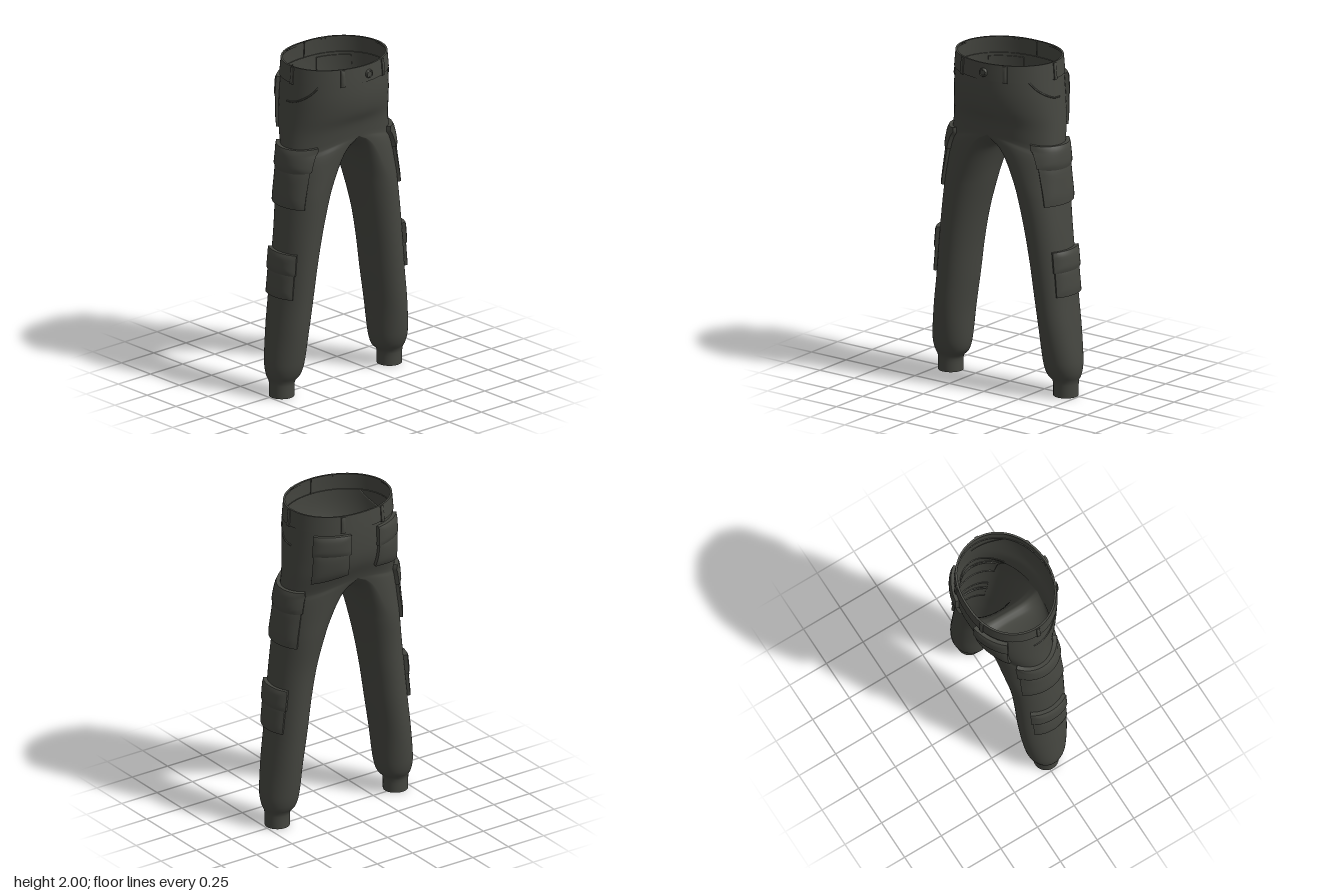
import * as THREE from 'three';
import { mergeGeometries, mergeVertices, toCreasedNormals } from 'three/addons/utils/BufferGeometryUtils.js';

// Half-body sections: height, outer x, inner x, x of deepest point, front z, back z
const ROWS = [
  [0, 0.490, 0.345, 0.418, 0.088, -0.057],
  [0.09, 0.492, 0.342, 0.417, 0.090, -0.058],
  [0.105, 0.497, 0.325, 0.411, 0.097, -0.068],
  [0.13, 0.509, 0.303, 0.406, 0.115, -0.083],
  [0.2, 0.516, 0.286, 0.401, 0.138, -0.100],
  [0.4, 0.494, 0.268, 0.381, 0.164, -0.120],
  [0.6, 0.468, 0.240, 0.354, 0.174, -0.128],
  [0.8, 0.447, 0.211, 0.329, 0.182, -0.130],
  [1.0, 0.426, 0.172, 0.299, 0.190, -0.136],
  [1.2, 0.402, 0.122, 0.255, 0.200, -0.158],
  [1.3, 0.392, 0.096, 0.200, 0.206, -0.170],
  [1.4, 0.384, 0.062, 0.125, 0.213, -0.184],
  [1.45, 0.380, 0.035, 0.062, 0.217, -0.194],
  [1.48, 0.377, 0, 0, 0.220, -0.202],
  [1.6, 0.365, 0, 0, 0.236, -0.240],
  [1.7, 0.354, 0, 0, 0.262, -0.257],
  [1.8, 0.344, 0, 0, 0.277, -0.263],
  [1.9, 0.334, 0, 0, 0.278, -0.262],
  [2.0, 0.325, 0, 0, 0.272, -0.256],
];
const CROTCH = 1.48;
const { sin, cos, PI, abs, max, min, lerp, smoothstep } = { ...THREE.MathUtils, sin: Math.sin, cos: Math.cos, PI: Math.PI, abs: Math.abs, max: Math.max, min: Math.min };

// Smooth interpolation of the section rows
function section(y) {
  y = THREE.MathUtils.clamp(y, 0, 2);
  let i = 0;
  while (i < ROWS.length - 2 && y > ROWS[i + 1][0]) i++;
  const slope = (k, c) => {
    const a = ROWS[max(k - 1, 0)], b = ROWS[min(k + 1, ROWS.length - 1)];
    return (b[c] - a[c]) / (b[0] - a[0]);
  };
  const A = ROWS[i], B = ROWS[i + 1], h = B[0] - A[0], f = (y - A[0]) / h;
  return A.map((v, c) => c === 0 ? y : max(c < 5 ? 0 : -1,
    v * (1 + 2 * f) * (1 - f) ** 2 + B[c] * f * f * (3 - 2 * f)
    + h * f * (1 - f) * (slope(i, c) * (1 - f) - slope(i + 1, c) * f)));
}

// Cloth surface of the left half: t = 0 front, PI/2 outside, PI back, 3PI/2 inside
function cloth(y, t) {
  const [, xo, xi0, xs0, zf, zb] = section(y);
  const xi = y >= CROTCH ? 0 : xi0, xs = y >= CROTCH ? 0 : max(xs0, xi0);
  const s = sin(t), c = cos(t);
  const power = c < 0 ? 1 - 0.15 * smoothstep(y, 1.4, 1.8) : 1;
  const x = s > 0 ? xs + (xo - xs) * s ** power : xs + (xs - xi) * s;
  const lift = 0.07 * (y > CROTCH ? 1 - smoothstep(y, CROTCH, 1.78) : smoothstep(y, 1.15, CROTCH));
  return new THREE.Vector3(x, y + lift * c ** 4, (zf + zb) / 2 + (zf - zb) / 2 * c);
}

function raised(y, t, d) {
  const e = 0.004;
  const n = cloth(y, t + e).sub(cloth(y, t - e)).cross(cloth(min(y + e, 2), t).sub(cloth(y - e, t))).normalize();
  return cloth(y, t).addScaledVector(n, d);
}

// Angle on the outer side at a given depth z
function angleAt(y, z) {
  const [, , , , zf, zb] = section(y);
  return Math.acos(THREE.MathUtils.clamp((z - (zf + zb) / 2) / ((zf - zb) / 2), -1, 1));
}

// Grid of quads from point(i, j); side -1 mirrors it
function grid(nu, nv, point, side) {
  const pos = [], idx = [];
  for (let j = 0; j <= nv; j++) for (let i = 0; i <= nu; i++) {
    const p = point(i, j);
    pos.push(p.x * side, p.y, p.z);
  }
  for (let j = 0; j < nv; j++) for (let i = 0; i < nu; i++) {
    const a = j * (nu + 1) + i, b = a + 1, d = a + nu + 1, c = d + 1;
    if (side > 0) idx.push(a, b, c, a, c, d);
    else idx.push(a, c, b, a, d, c);
  }
  const g = new THREE.BufferGeometry();
  g.setAttribute('position', new THREE.Float32BufferAttribute(pos, 3));
  g.setIndex(idx);
  return g;
}

const loft = (y0, y1, nv, t1, nu, side, d = 0) =>
  grid(nu, nv, (i, j) => {
    const y = lerp(y0, y1, j / nv), t = t1 * i / nu;
    return d ? raised(y, t, d) : cloth(y, t);
  }, side);

// Raised cloth panel following the surface, with a turned-down rim and puffed middle
function panel(y0, y1, angle, depth, side, nu = 14, nv = 8, base = -0.006, puff = 0.3) {
  return toCreasedNormals(grid(nu + 2, nv + 2, (i, j) => {
    const u = THREE.MathUtils.clamp((i - 1) / nu, 0, 1), v = THREE.MathUtils.clamp((j - 1) / nv, 0, 1);
    const rim = i === 0 || j === 0 || i === nu + 2 || j === nv + 2;
    const edge = max(abs(2 * u - 1), abs(2 * v - 1)) ** 4;
    const y = lerp(y0, y1, v);
    return raised(y, angle(u, y), rim ? base : depth * (1 - puff * edge));
  }, side), 0.7);
}

export function createModel() {
  const fabric = new THREE.MeshStandardMaterial({ color: 0x454640, side: THREE.DoubleSide });
  fabric.name = 'dark olive fabric';
  const model = new THREE.Group();
  model.name = 'cargoTrousers';
  const add = (name, geometry, parent = model) => {
    const mesh = new THREE.Mesh(geometry, fabric);
    mesh.name = name;
    parent.add(mesh);
    return mesh;
  };

  // Seat and both legs in one smooth skin
  const skin = [];
  for (const side of [1, -1]) {
    skin.push(loft(CROTCH, 1.985, 20, PI, 32, side));
    skin.push(loft(1.2, CROTCH, 20, 2 * PI, 64, side));
    skin.push(loft(0.1, 1.2, 48, 2 * PI, 64, side));
  }
  const body = mergeVertices(mergeGeometries(skin), 1e-4);
  body.computeVertexNormals();
  add('trouserBody', body);

  for (const side of [1, -1]) {
    const half = new THREE.Group();
    half.name = side > 0 ? 'leftDetails' : 'rightDetails';
    model.add(half);

    // Waistband half and its belt loops
    add('waistband', panel(1.9, 2, u => u * PI, 0.006, side, 40, 4, -0.006, 0), half);
    for (const t of [0.48, 1.55, PI - 0.36])
      add('beltLoop', panel(1.895, 1.995, u => t + (u - 0.5) * 0.08, 0.017, side, 3, 6, 0, 0.3), half);

    // Ankle cuff
    const cuff = mergeVertices(loft(0, 0.115, 6, 2 * PI, 48, side, 0.001), 1e-4);
    cuff.computeVertexNormals();
    add('ankleCuff', cuff, half);

    // Cargo pockets on thigh and calf, each with a flap
    const cargo = [
      ['thighPocket', 1.16, 1.37, 1.51, 0.152, -0.108],
      ['calfPocket', 0.62, 0.765, 0.89, 0.130, -0.075],
    ];
    for (const [name, y0, ym, y1, zf, zb] of cargo) {
      const span = grow => (u, y) => angleAt(y, lerp(zf + grow, zb - grow, u));
      add(name, panel(y0, ym + 0.03, span(0), 0.026, side), half);
      add(name + 'Flap', panel(ym, y1, span(0.006), 0.034, side), half);
    }

    // Back pocket with flap
    const seat = grow => u => PI - lerp(0.9 + grow, 0.24 - grow, u);
    add('backPocket', panel(1.57, 1.78, seat(0), 0.026, side), half);
    add('backPocketFlap', panel(1.755, 1.88, seat(0.02), 0.032, side), half);

    // Curved front pocket opening
    const opening = [[1.9, 0.17], [1.85, 0.135], [1.81, 0.08], [1.79, 0.03], [1.785, -0.02]].map(([y, z]) => {
      const p = raised(y, angleAt(y, z), 0.001);
      p.x *= side;
      return p;
    });
    add('frontPocketEdge', new THREE.TubeGeometry(new THREE.CatmullRomCurve3(opening), 20, 0.005, 6), half);
  }

  // Waist button
  const button = add('waistButton', new THREE.CylinderGeometry(0.024, 0.027, 0.014, 20).rotateX(PI / 2));
  button.position.set(0.02, 1.945, 0.284);
  const rim = add('buttonRim', new THREE.TorusGeometry(0.02, 0.005, 6, 20));
  rim.position.set(0.02, 1.945, 0.29);
  return model;
}
